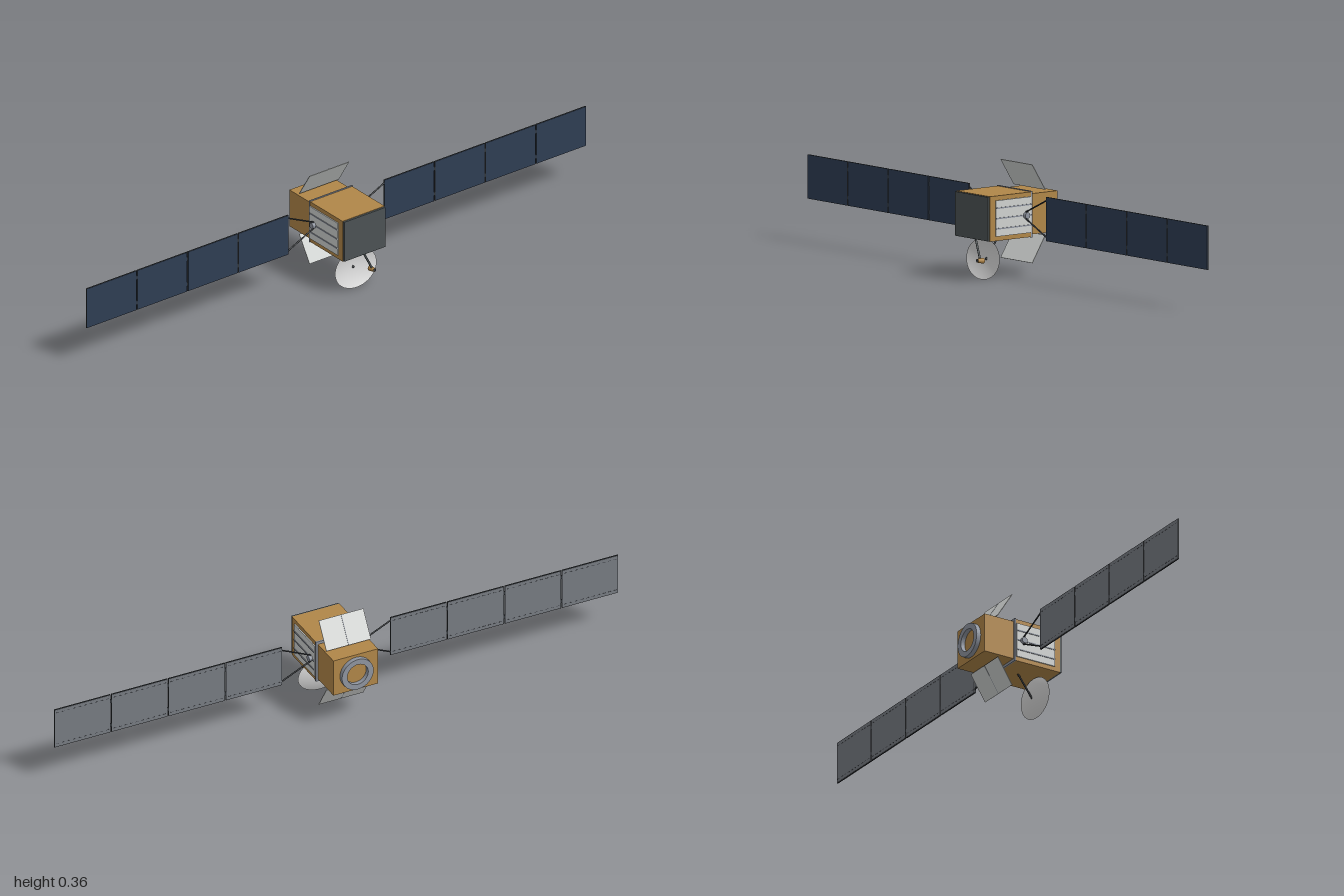
import * as THREE from 'three';

const mat = (name, color, side = THREE.FrontSide) => {
  const m = new THREE.MeshStandardMaterial({ color, side });
  m.name = name;
  return m;
};

export function createModel() {
  const gold = mat('gold foil', 0xb08648);
  const navy = mat('solar cell navy', 0x2e3d53);
  const backGrey = mat('panel back grey', 0x777b82);
  const dark = mat('dark strut', 0x33373b);
  const slate = mat('front plate slate', 0x4b5254);
  const pale = mat('radiator pale grey', 0xcfd2d0);
  const metal = mat('metal grey', 0x8f95a0);
  const white = mat('dish white', 0xd8d8d8, THREE.DoubleSide);

  const root = new THREE.Group();
  root.name = 'satellite';
  const CY = 0.21; // height of the body axis

  const add = (name, geo, material, x = 0, y = 0, z = 0, parent = root) => {
    const m = new THREE.Mesh(geo, material);
    m.name = name;
    m.position.set(x, y, z);
    parent.add(m);
    return m;
  };
  const box = (name, material, w, h, d, x, y, z, parent) =>
    add(name, new THREE.BoxGeometry(w, h, d), material, x, y, z, parent);
  const rod = (name, material, a, b, r, parent) => {
    const p = new THREE.Vector3(...a), q = new THREE.Vector3(...b);
    const dir = q.clone().sub(p);
    const m = add(name, new THREE.CylinderGeometry(r, r, dir.length(), 8), material, 0, 0, 0, parent);
    m.position.copy(p).add(q).multiplyScalar(0.5);
    m.quaternion.setFromUnitVectors(new THREE.Vector3(0, 1, 0), dir.normalize());
    return m;
  };

  // Body
  box('frontBody', gold, 0.168, 0.144, 0.168, 0, CY, 0.058);
  box('frontPlate', slate, 0.164, 0.141, 0.007, 0, CY, 0.1455);
  box('flange', metal, 0.172, 0.148, 0.005, 0, CY + 0.0005, -0.027);
  box('rearBody', gold, 0.158, 0.13, 0.11, 0, CY, -0.083);

  // Rear adapter ring, open in the middle
  const ringProfile = [[0.036, 0], [0.036, 0.012], [0.041, 0.015], [0.056, 0.015], [0.056, 0]]
    .map(([r, h]) => new THREE.Vector2(r, h)).reverse();
  const ringGeo = new THREE.CylinderGeometry(0.056, 0.056, 0.015, 40, 1, true);
  add('ringOuter', ringGeo, metal, 0, CY, -0.1455).rotation.x = Math.PI / 2;
  const ringShape = new THREE.Shape().absarc(0, 0, ringProfile[0].x - 0.0002, 0, Math.PI * 2);
  ringShape.holes.push(new THREE.Path().absarc(0, 0, 0.037, 0, Math.PI * 2, true));
  add('ringBody', new THREE.ExtrudeGeometry(ringShape, { depth: 0.015, bevelEnabled: false, curveSegments: 24 }),
    metal, 0, CY, -0.153);

  // Solar wings and side radiators, mirrored
  for (const s of [1, -1]) {
    const side = s > 0 ? 'left' : 'right';
    box(side + 'Radiator', pale, 0.005, 0.115, 0.143, s * 0.0855, CY, 0.0485);
    for (const dy of [-0.033, 0, 0.033])
      box(side + 'RadiatorRib', metal, 0.003, 0.004, 0.143, s * 0.0885, CY + dy, 0.0485);

    const wing = new THREE.Group();
    wing.name = side + 'SolarWing';
    root.add(wing);
    add('hinge', new THREE.CylinderGeometry(0.01, 0.01, 0.014, 20), metal, s * 0.092, CY, 0, wing)
      .rotation.z = Math.PI / 2;
    for (const d of [1, -1])
      rod('yokeArm', dark, [s * 0.09, CY + d * 0.011, 0], [s * 0.193, CY + d * 0.059, 0], 0.0025, wing);

    const step = 0.2025, w = 0.199, h = 0.141;
    for (let i = 0; i < 4; i++) {
      const x = s * (0.19 + step * (i + 0.5));
      box('panelFrame', dark, w, h, 0.004, x, CY, 0, wing);
      box('solarCells', navy, w - 0.002, h - 0.002, 0.001, x, CY, 0.0022, wing);
      box('panelBack', backGrey, w - 0.003, h - 0.003, 0.001, x, CY, -0.0022, wing);
      // Dashed wiring on the back
      for (let k = 0; k < 10; k++)
        for (const d of [1, -1])
          box('wiringDash', dark, 0.01, 0.0015, 0.0006, x + (k - 4.5) * 0.0195, CY + d * 0.058, -0.0028, wing);
      // Hinges to the next panel
      if (i < 3)
        for (const d of [1, -1])
          box('panelHinge', dark, 0.008, 0.012, 0.004, s * (0.19 + step * (i + 1)), CY + d * 0.045, 0, wing);
    }
  }

  // Tilted flaps above and below the rear body
  for (const d of [1, -1]) {
    const flap = new THREE.Group();
    flap.name = d > 0 ? 'upperFlap' : 'lowerFlap';
    flap.position.set(0, CY + d * 0.115, -0.0615);
    flap.rotation.x = d * Math.atan2(0.053, 0.084);
    root.add(flap);
    box('flapPlate', pale, 0.158, 0.1, 0.002, 0, 0, 0, flap);
    box('flapSeam', metal, 0.002, 0.1, 0.0006, 0, 0, -0.0012, flap);
  }

  // Oval dish, slightly tilted up
  const profile = [];
  for (let i = 0; i <= 10; i++) {
    const t = i / 10;
    profile.push(new THREE.Vector2(0.083 * t, 0.014 * t * t));
  }
  const dish = add('dish', new THREE.LatheGeometry(profile, 40), white, 0, 0.069, 0.088);
  dish.rotation.x = Math.PI / 2 - 0.106;
  dish.scale.z = 0.795;
  rod('dishStrut', dark, [0, 0.14, 0.037], [0, 0.069, 0.089], 0.003);
  add('dishHub', new THREE.SphereGeometry(0.004, 12, 8), dark, 0, 0.069, 0.089);

  // Feed horn on its arm
  rod('feedArm', slate, [0.003, 0.141, 0.135], [0.035, 0.074, 0.142], 0.0035);
  const horn = add('feedHorn', new THREE.CylinderGeometry(0.006, 0.009, 0.024, 16), gold, 0.035, 0.072, 0.142);
  horn.rotation.x = Math.PI / 2 - 0.1;
  const cap = add('feedCap', new THREE.CylinderGeometry(0.005, 0.005, 0.001, 16), dark, 0.035, 0.0732, 0.1543);
  cap.rotation.x = Math.PI / 2 - 0.1;

  return root;
}
